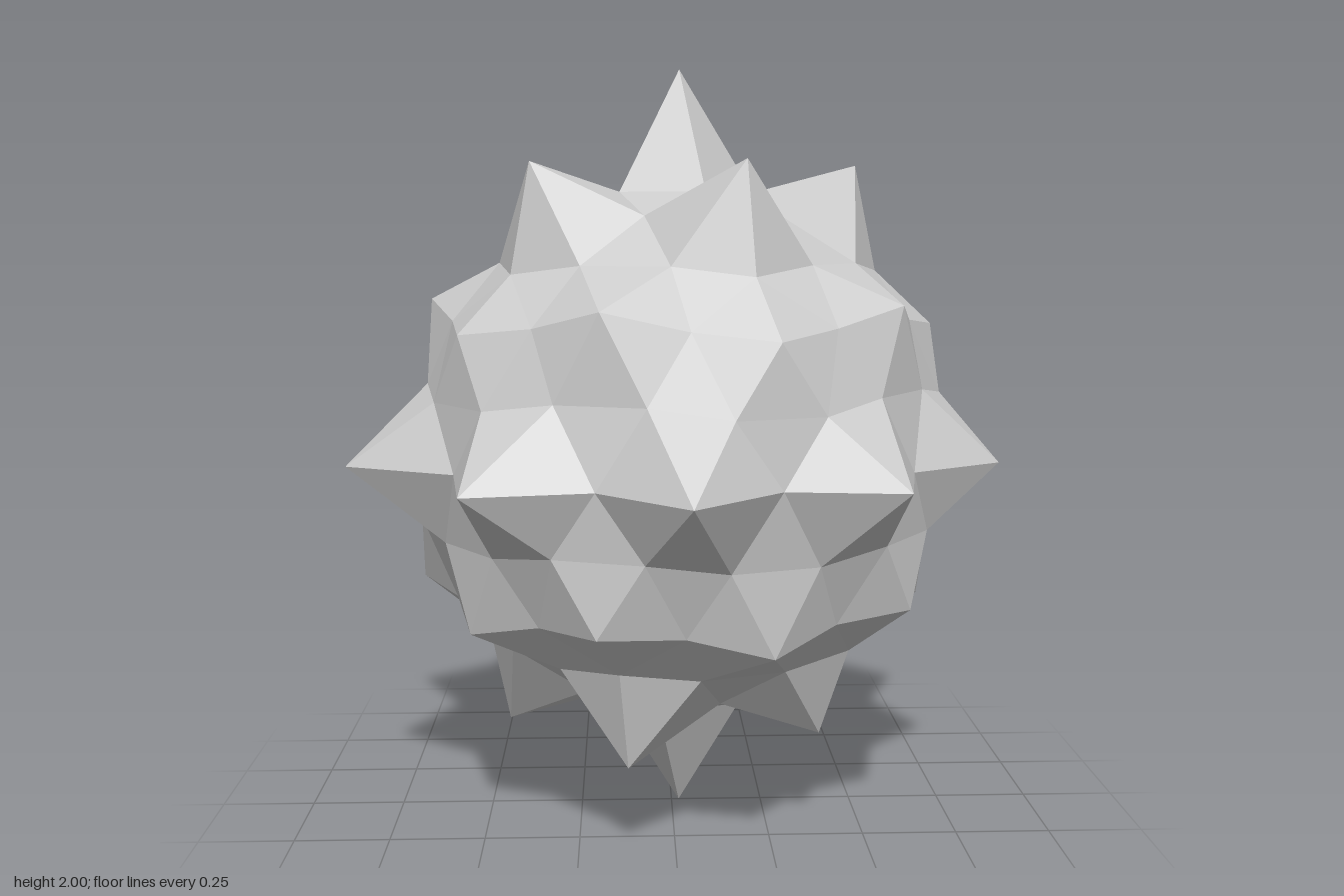
import * as THREE from 'three';

// Height of each point above the ball's centre, by subdivision level and latitude
function radius({ dir, level, onRib }) {
  const lat = Math.abs(dir.y);
  const east = dir.x / (Math.hypot(dir.x, dir.z) || 1);
  if (level === 0) return lat > 0.9 ? 1 : dir.y > 0 ? 0.756 : 0.775;
  if (level === 1) {
    if (lat < 0.1) return 0.87 - 0.022 * east; // equator spikes
    if (lat > 0.8) return dir.y > 0 ? 0.886 : 0.862 - 0.026 * east; // spikes round the poles
    return 0.772; // low bumps
  }
  return onRib ? 0.71 : 0.695; // valleys between the spikes
}

function baseIcosahedron() {
  const points = [], faces = [];
  const add = (x, y, z) => points.push({ dir: new THREE.Vector3(x, y, z).normalize(), level: 0 });
  add(0, 1, 0);
  for (let ring = 0; ring < 2; ring++) {
    for (let i = 0; i < 5; i++) {
      const a = (i + ring / 2) * Math.PI * 0.4;
      add(2 * Math.cos(a), ring ? -1 : 1, 2 * Math.sin(a));
    }
  }
  add(0, -1, 0);
  for (let i = 0; i < 5; i++) {
    const j = (i + 1) % 5;
    faces.push([0, 1 + j, 1 + i], [1 + i, 1 + j, 6 + i], [1 + j, 6 + j, 6 + i], [11, 6 + i, 6 + j]);
  }
  return { points, faces };
}

// Split every triangle into four, keeping new points on the sphere
function subdivide({ points, faces }, level) {
  const cache = new Map();
  const mid = (a, b) => {
    const key = Math.min(a, b) + '_' + Math.max(a, b);
    if (!cache.has(key)) {
      const dir = points[a].dir.clone().add(points[b].dir).normalize();
      const onRib = points[a].level === 0 || points[b].level === 0;
      cache.set(key, points.push({ dir, level, onRib }) - 1);
    }
    return cache.get(key);
  };
  const split = faces.flatMap(([a, b, c]) => {
    const ab = mid(a, b), bc = mid(b, c), ca = mid(c, a);
    return [[a, ab, ca], [ab, b, bc], [ca, bc, c], [ab, bc, ca]];
  });
  return { points, faces: split };
}

export function createModel() {
  let ball = baseIcosahedron();
  for (let level = 1; level <= 2; level++) ball = subdivide(ball, level);

  const position = [];
  for (const face of ball.faces) {
    const [a, b, c] = face.map((i) => ball.points[i].dir.clone().multiplyScalar(radius(ball.points[i])));
    const normal = b.clone().sub(a).cross(c.clone().sub(a));
    const outward = normal.dot(a.clone().add(b).add(c)) > 0;
    for (const p of outward ? [a, b, c] : [a, c, b]) position.push(p.x, p.y, p.z);
  }
  const geometry = new THREE.BufferGeometry();
  geometry.setAttribute('position', new THREE.Float32BufferAttribute(position, 3));
  geometry.computeVertexNormals();

  const mesh = new THREE.Mesh(
    geometry,
    new THREE.MeshStandardMaterial({ color: 0xcccccc, flatShading: true })
  );
  mesh.name = 'spikyBall';
  mesh.position.set(0.02, 1, 0);

  const group = new THREE.Group();
  group.name = 'spikyBallModel';
  group.add(mesh);
  return group;
}
